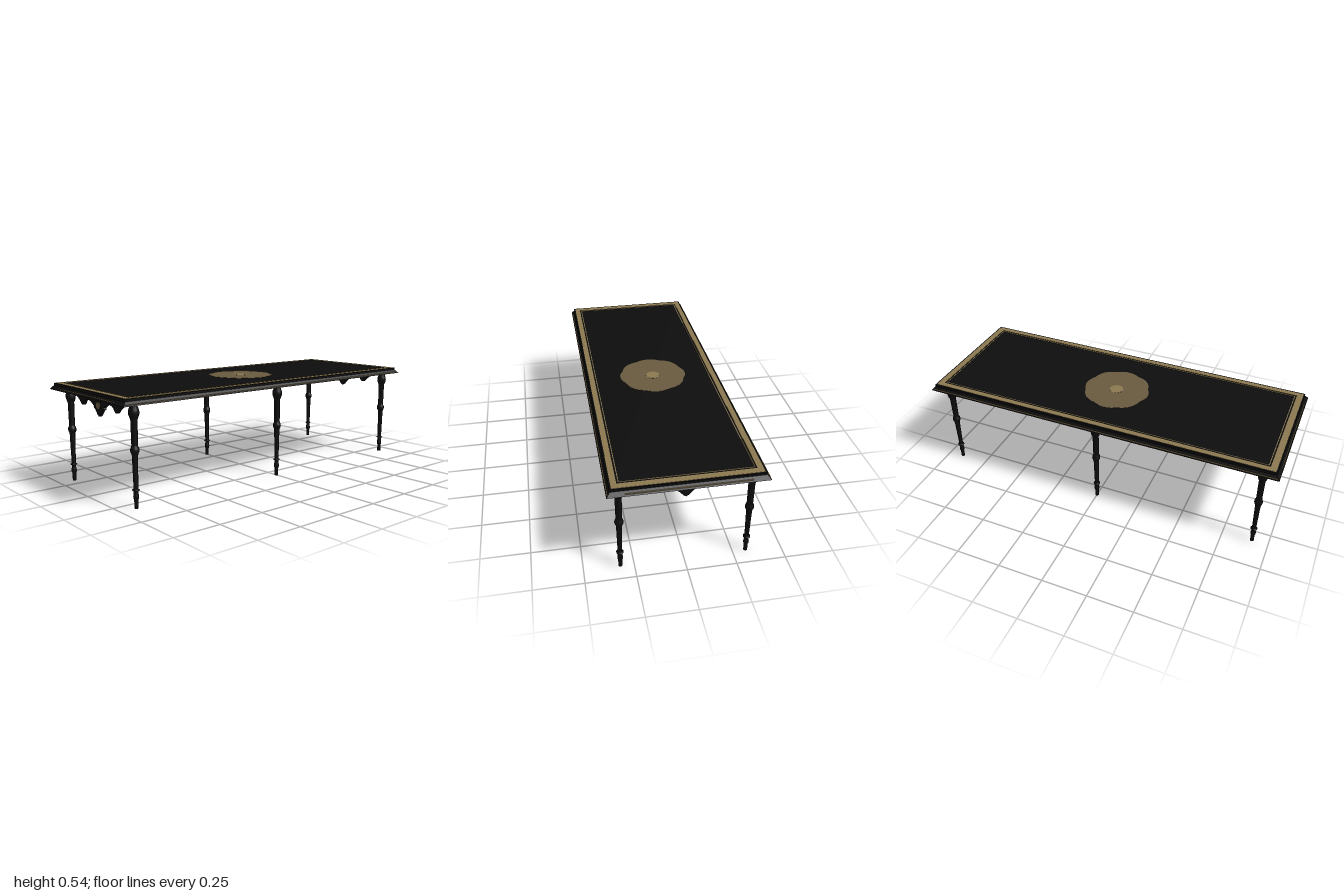
import * as THREE from 'three';

const mat = (name, color) => Object.assign(new THREE.MeshStandardMaterial({ color }), { name });

export function createModel() {
  const black = mat('black lacquer', 0x0d0d0d);
  const gold = mat('gold inlay', 0x8a7850);
  const bronze = mat('dull bronze', 0x685a40);
  const group = new THREE.Group();
  const add = (name, geometry, material, x = 0, y = 0, z = 0) => {
    const mesh = new THREE.Mesh(geometry, material);
    mesh.name = name;
    mesh.position.set(x, y, z);
    group.add(mesh);
    return mesh;
  };

  // Tabletop: straight slab above a flared rim
  add('tableTop', new THREE.BoxGeometry(0.726, 0.012, 1.964), black, 0, 0.53, 0);
  const rim = new THREE.BoxGeometry(0.76, 0.02, 2);
  const rp = rim.attributes.position;
  for (let i = 0; i < rp.count; i++) {
    if (rp.getY(i) > 0) rp.setXYZ(i, rp.getX(i) * 0.363 / 0.38, rp.getY(i), rp.getZ(i) * 0.982);
  }
  rim.computeVertexNormals();
  add('flaredRim', rim, black, 0, 0.514, 0);

  // Flat rectangular inlay frames on the top
  const rect = (path, x, z) => path.moveTo(-x, -z).lineTo(x, -z).lineTo(x, z).lineTo(-x, z).closePath();
  const frame = (name, x, z, w, d) => {
    const shape = rect(new THREE.Shape(), x, z);
    shape.holes.push(rect(new THREE.Path(), x - w, z - d));
    const geo = new THREE.ExtrudeGeometry(shape, { depth: 0.0015, bevelEnabled: false });
    geo.rotateX(-Math.PI / 2);
    add(name, geo, gold, 0, 0.5358, 0);
  };
  frame('wideInlay', 0.355, 0.975, 0.028, 0.033);
  frame('fineInlay', 0.319, 0.934, 0.004, 0.004);

  // Scalloped central medallion
  const pts = [];
  for (let i = 0; i < 96; i++) {
    const a = i / 96 * Math.PI * 2;
    const r = 0.176 + 0.009 * Math.abs(Math.cos(a * 4));
    pts.push(new THREE.Vector2(Math.cos(a) * r, Math.sin(a) * r));
  }
  const medallion = new THREE.ExtrudeGeometry(new THREE.Shape(pts), { depth: 0.0015, bevelEnabled: false });
  medallion.rotateX(-Math.PI / 2);
  add('medallion', medallion, bronze, -0.004, 0.5358, -0.008);
  add('medallionCentre', new THREE.CylinderGeometry(0.038, 0.038, 0.002, 32), gold, -0.004, 0.537, -0.01);

  // Fine gold lines around the rim
  for (const s of [-1, 1]) {
    add('sideLine', new THREE.BoxGeometry(0.006, 0.003, 1.98), gold, s * 0.3745, 0.511, 0);
    add('endLine', new THREE.BoxGeometry(0.59, 0.003, 0.006), gold, 0, 0.513, s * 0.992);
  }

  // Turned legs
  const profile = [
    [0, 0], [0.01, 0], [0.01, 0.04], [0.0135, 0.05], [0.014, 0.058], [0.0125, 0.068], [0.011, 0.076],
    [0.011, 0.087], [0.018, 0.089], [0.018, 0.092], [0.011, 0.095], [0.0145, 0.255], [0.016, 0.265],
    [0.0205, 0.274], [0.022, 0.284], [0.0205, 0.293], [0.016, 0.302], [0.0155, 0.31], [0.0168, 0.43],
    [0.021, 0.44], [0.0255, 0.453], [0.0265, 0.465], [0.0245, 0.477], [0.0195, 0.49], [0.018, 0.506],
  ].map(([r, y]) => new THREE.Vector2(r, y));
  const leg = new THREE.LatheGeometry(profile, 24);
  for (const x of [-0.318, 0.318]) {
    for (const z of [-0.912, 0, 0.912]) add('leg', leg, black, x, 0, z);
  }

  // Carved aprons at both ends, half outline mirrored
  const half = [
    [0.3, 0.489], [0.27, 0.485], [0.24, 0.479], [0.215, 0.469], [0.198, 0.457], [0.187, 0.445],
    [0.175, 0.438], [0.163, 0.438], [0.153, 0.448], [0.145, 0.458], [0.132, 0.467], [0.113, 0.471],
    [0.09, 0.468], [0.07, 0.46], [0.047, 0.447], [0.053, 0.441], [0.037, 0.433], [0.024, 0.419],
    [0.012, 0.405],
  ];
  const outline = [[0.318, 0.506], [0.318, 0.489], ...half];
  const mirrored = outline.map(([x, y]) => [-x, y]).reverse();
  const apronShape = new THREE.Shape([...outline, [0, 0.398], ...mirrored].map((p) => new THREE.Vector2(...p)));
  const apron = new THREE.ExtrudeGeometry(apronShape, { depth: 0.016, bevelEnabled: false });
  apron.translate(0, 0, -0.008);
  for (const z of [-0.912, 0.912]) add('apron', apron, black, 0, 0, z);

  // Rosette set through the front apron
  const rosette = new THREE.CylinderGeometry(0.018, 0.018, 0.022, 20).rotateX(Math.PI / 2);
  add('rosette', rosette, bronze, -0.002, 0.453, 0.912);

  return group;
}
